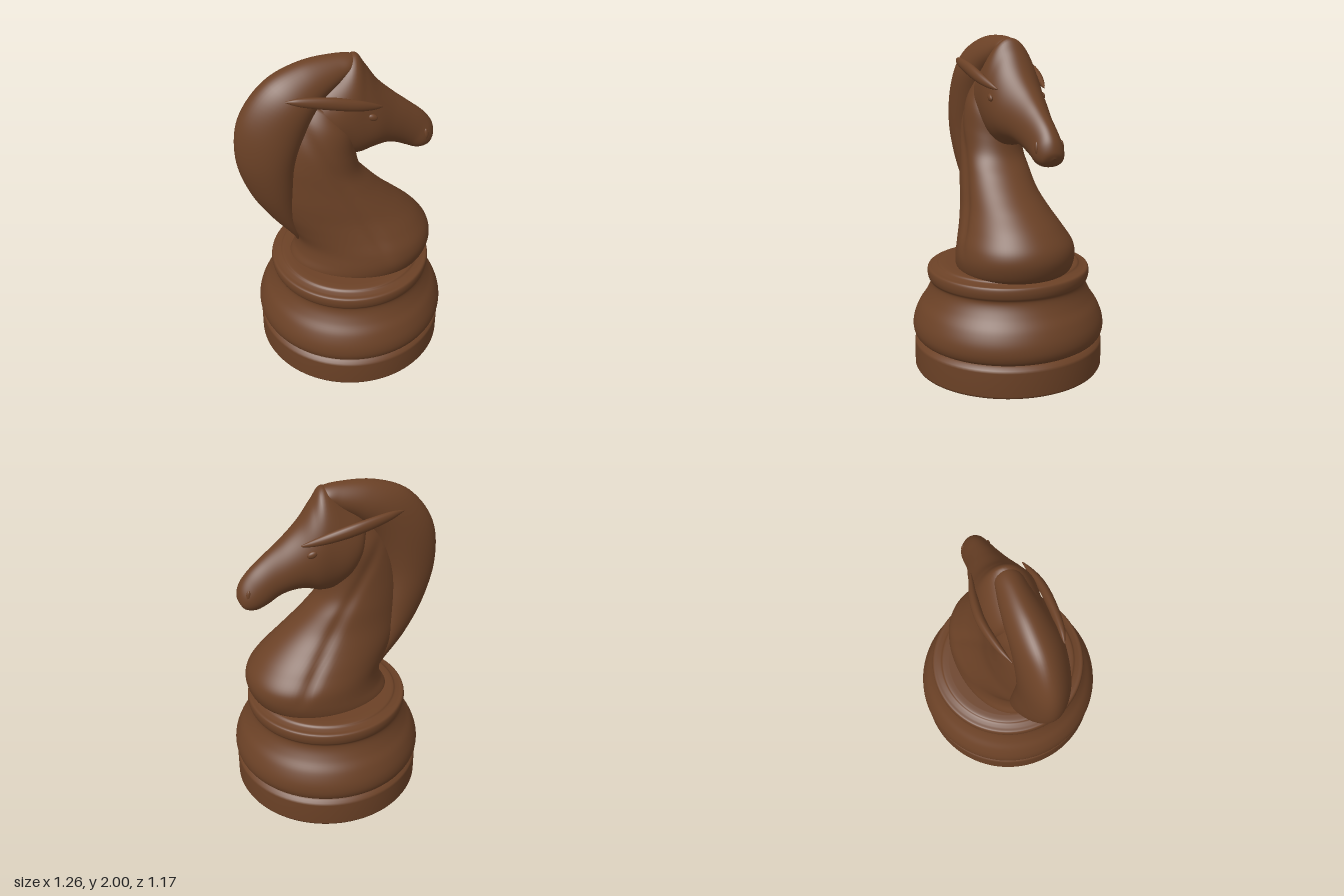
import * as THREE from 'three';

const wood = new THREE.MeshStandardMaterial({ color: 0x6b4126 });
wood.name = 'brown wood';

// Skin of oval rings. Each station is [ax, ay, bx, by, z, halfWidth]:
// a and b are the two ends of the oval in the xy plane, z its middle.
// skew makes the oval wider towards a (positive) or b (negative).
function loft(name, stations, { skew = 0, rings = 48, sides = 48, carve = null } = {}) {
  const curveA = new THREE.CatmullRomCurve3(stations.map(s => new THREE.Vector3(s[0], s[1], s[5])));
  const curveB = new THREE.CatmullRomCurve3(stations.map(s => new THREE.Vector3(s[2], s[3], s[4])));
  const pos = [], idx = [];
  for (let i = 0; i <= rings; i++) {
    const a = curveA.getPoint(i / rings), b = curveB.getPoint(i / rings);
    for (let j = 0; j < sides; j++) {
      const t = (j / sides) * Math.PI * 2, c = Math.cos(t), s = Math.sin(t);
      const x = (a.x + b.x) / 2 + ((a.x - b.x) / 2) * c;
      const y = (a.y + b.y) / 2 + ((a.y - b.y) / 2) * c;
      let w = Math.max(a.z, 0.001) * s * (1 + skew * c);
      if (carve) w *= 1 - carve(x, y);
      pos.push(x, y, b.z + w);
    }
  }
  for (let i = 0; i < rings; i++) {
    for (let j = 0; j < sides; j++) {
      const p = i * sides + j, q = i * sides + ((j + 1) % sides);
      idx.push(p, q, p + sides, q, q + sides, p + sides);
    }
  }
  // End caps
  for (const end of [0, rings]) {
    const o = end * sides;
    for (let j = 1; j < sides - 1; j++) {
      if (end) idx.push(o, o + j, o + j + 1);
      else idx.push(o, o + j + 1, o + j);
    }
  }
  // Turn the skin outwards if its signed volume is negative
  const v = k => new THREE.Vector3().fromArray(pos, k * 3);
  let volume = 0;
  for (let k = 0; k < idx.length; k += 3) volume += v(idx[k]).dot(v(idx[k + 1]).cross(v(idx[k + 2])));
  if (volume < 0) idx.reverse();
  const geo = new THREE.BufferGeometry();
  geo.setAttribute('position', new THREE.Float32BufferAttribute(pos, 3));
  geo.setIndex(idx);
  geo.computeVertexNormals();
  const mesh = new THREE.Mesh(geo, wood);
  mesh.name = name;
  return mesh;
}

function turned(name, points) {
  const geo = new THREE.LatheGeometry(points.map(p => new THREE.Vector2(p[0], p[1])), 96);
  const mesh = new THREE.Mesh(geo, wood);
  mesh.name = name;
  mesh.position.x = 0.043;
  return mesh;
}

function bead(name, x, y, z, sx, sy, sz, tilt) {
  const mesh = new THREE.Mesh(new THREE.SphereGeometry(1, 20, 14), wood);
  mesh.name = name;
  mesh.position.set(x, y, z);
  mesh.scale.set(sx, sy, sz);
  mesh.rotation.z = tilt;
  return mesh;
}

export function createModel() {
  const model = new THREE.Group();
  model.name = 'chessKnight';

  // Turned base: foot, bulging body and rim
  model.add(turned('foot', [
    [0, 0], [0.55, 0], [0.57, 0.006], [0.577, 0.02], [0.577, 0.16], [0.572, 0.175], [0.555, 0.187], [0.54, 0.2], [0, 0.2],
  ]));
  const bulge = new THREE.SplineCurve([
    [0.545, 0.195], [0.57, 0.215], [0.584, 0.26], [0.578, 0.32], [0.55, 0.39], [0.51, 0.45], [0.482, 0.505], [0.473, 0.545],
    [0.486, 0.568], [0.492, 0.6], [0.486, 0.63], [0.46, 0.637], [0.435, 0.645], [0.42, 0.656], [0.38, 0.66],
  ].map(p => new THREE.Vector2(...p))).getPoints(70);
  model.add(turned('baseBody', [...bulge.map(p => [p.x, p.y]), [0, 0.66]]));

  // Neck and chest, with a shallow muscle groove running down each side
  model.add(loft('neck', [
    [0.47, 0.63, -0.34, 0.63, 0, 0.32],
    [0.51, 0.665, -0.33, 0.665, 0, 0.337],
    [0.54, 0.75, -0.30, 0.72, 0, 0.345],
    [0.53, 0.82, -0.29, 0.80, 0, 0.335],
    [0.47, 0.91, -0.33, 0.90, 0.01, 0.295],
    [0.37, 1.01, -0.38, 1.02, 0.025, 0.25],
    [0.27, 1.10, -0.40, 1.15, 0.04, 0.22],
    [0.17, 1.20, -0.40, 1.30, 0.045, 0.20],
    [0.09, 1.30, -0.39, 1.42, 0.05, 0.185],
    [0.06, 1.42, -0.36, 1.55, 0.05, 0.175],
    [0.05, 1.55, -0.30, 1.68, 0.04, 0.16],
    [0.00, 1.65, -0.22, 1.78, 0.03, 0.12],
  ], {
    skew: 0.12, rings: 72, sides: 96,
    carve: (x, y) => {
      const d = (x - (0.24 - (y - 0.75) * 0.56)) / 0.04;
      const fade = THREE.MathUtils.smoothstep(y, 0.7, 0.95);
      return 0.06 * fade * Math.exp(-d * d);
    },
  }));

  // Mane: thick crest from the poll down to the back of the neck
  model.add(loft('mane', [
    [-0.28, 0.74, -0.27, 0.75, 0.0, 0.01],
    [-0.32, 0.82, -0.26, 0.84, 0.01, 0.06],
    [-0.45, 1.00, -0.28, 1.02, 0.03, 0.11],
    [-0.56, 1.20, -0.29, 1.22, 0.06, 0.135],
    [-0.628, 1.45, -0.28, 1.42, 0.085, 0.142],
    [-0.60, 1.70, -0.23, 1.58, 0.085, 0.142],
    [-0.45, 1.90, -0.17, 1.71, 0.07, 0.135],
    [-0.25, 1.985, -0.11, 1.78, 0.04, 0.115],
    [-0.05, 2.0, -0.01, 1.85, 0.01, 0.085],
    [0.04, 1.99, 0.04, 1.90, 0.0, 0.065],
    [0.07, 1.975, 0.07, 1.94, -0.005, 0.03],
  ], { skew: -0.2, rings: 72 }));

  // Head, turned slightly aside towards the nose
  model.add(loft('head', [
    [-0.20, 1.78, -0.17, 1.60, 0.02, 0.08],
    [-0.15, 1.83, -0.155, 1.53, 0.015, 0.135],
    [-0.06, 1.90, -0.10, 1.44, 0.005, 0.165],
    [0.065, 1.99, 0.00, 1.375, -0.005, 0.172],
    [0.125, 1.915, 0.08, 1.37, -0.015, 0.17],
    [0.20, 1.805, 0.17, 1.395, -0.025, 0.155],
    [0.30, 1.705, 0.25, 1.395, -0.045, 0.127],
    [0.40, 1.62, 0.32, 1.37, -0.06, 0.102],
    [0.50, 1.53, 0.38, 1.335, -0.077, 0.09],
    [0.55, 1.46, 0.45, 1.306, -0.085, 0.084],
    [0.565, 1.40, 0.51, 1.312, -0.09, 0.058],
    [0.558, 1.365, 0.54, 1.335, -0.092, 0.015],
  ], { skew: -0.15, rings: 72, sides: 64 }));

  // Ears: slim leaves laid back along the sides of the head
  const leaf = [
    [-0.35, 1.848, 1.842], [-0.28, 1.862, 1.815], [-0.10, 1.842, 1.768],
    [0.05, 1.795, 1.73], [0.15, 1.747, 1.71], [0.20, 1.716, 1.708],
  ];
  const ears = {
    leftEar: [0.20, 0.205, 0.195, 0.172, 0.14, 0.12],
    rightEar: [-0.08, -0.12, -0.178, -0.186, -0.175, -0.165],
  };
  const earWidths = [0.003, 0.018, 0.026, 0.024, 0.014, 0.003];
  for (const [name, depth] of Object.entries(ears)) {
    const back = name === 'rightEar' ? 0.04 : 0;
    model.add(loft(name, leaf.map(([x, top, bottom], i) =>
      [x - back * (1 - i / 5), top, x - back * (1 - i / 5), bottom, depth[i], earWidths[i]]), { sides: 20 }));
  }

  // Eyes and nostrils on both cheeks
  for (const [side, s] of [['left', 1], ['right', -1]]) {
    model.add(bead(side + 'Eye', 0.14, 1.66, -0.018 + s * 0.158, 0.03, 0.02, 0.014, -0.4));
    model.add(bead(side + 'Nostril', 0.50, 1.42, -0.081 + s * 0.073, 0.014, 0.035, 0.012, 0.1));
  }
  return model;
}
